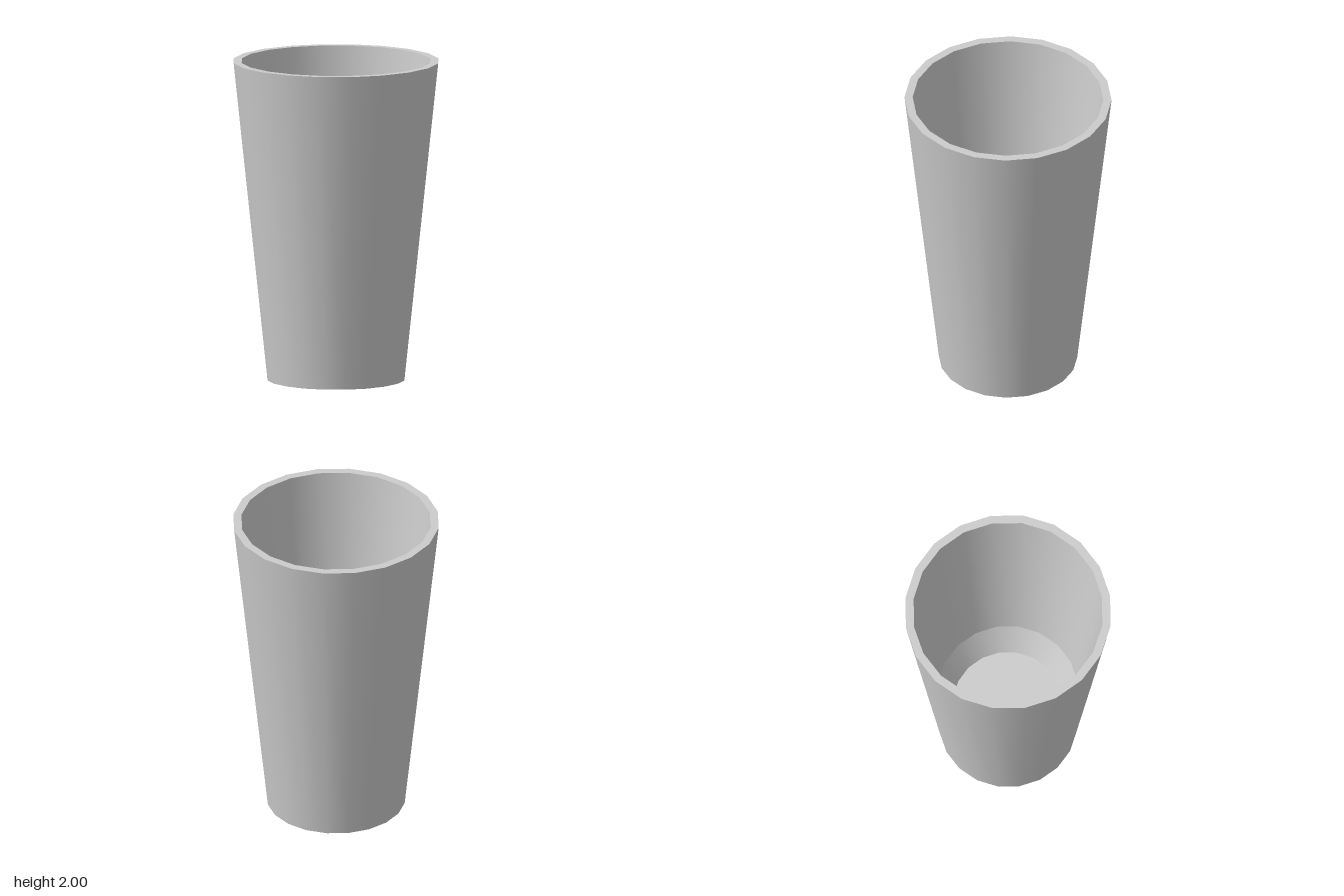
import * as THREE from 'three';

const SIDES = 20;

export function createModel() {
  const group = new THREE.Group();
  group.name = 'tumbler';
  const material = new THREE.MeshStandardMaterial({ color: 0xcccccc });

  // Profile as [radius, height]: under the base, up the outside, over the rim, down the inside
  const profile = [
    [0, 0], [0.43, 0], [0.643, 2], [0.592, 2], [0.437, 0.545], [0.343, 0.33], [0, 0.33],
  ].map(([r, y]) => new THREE.Vector2(r, y));
  const names = ['base', 'outerWall', 'rim', 'innerWall', 'innerTaper', 'innerFloor'];

  // One lathed band per part: smooth around, with a sharp edge between bands
  names.forEach((name, i) => {
    const band = new THREE.LatheGeometry([profile[i], profile[i + 1]], SIDES);
    const mesh = new THREE.Mesh(band, material);
    mesh.name = name;
    group.add(mesh);
  });
  return group;
}
